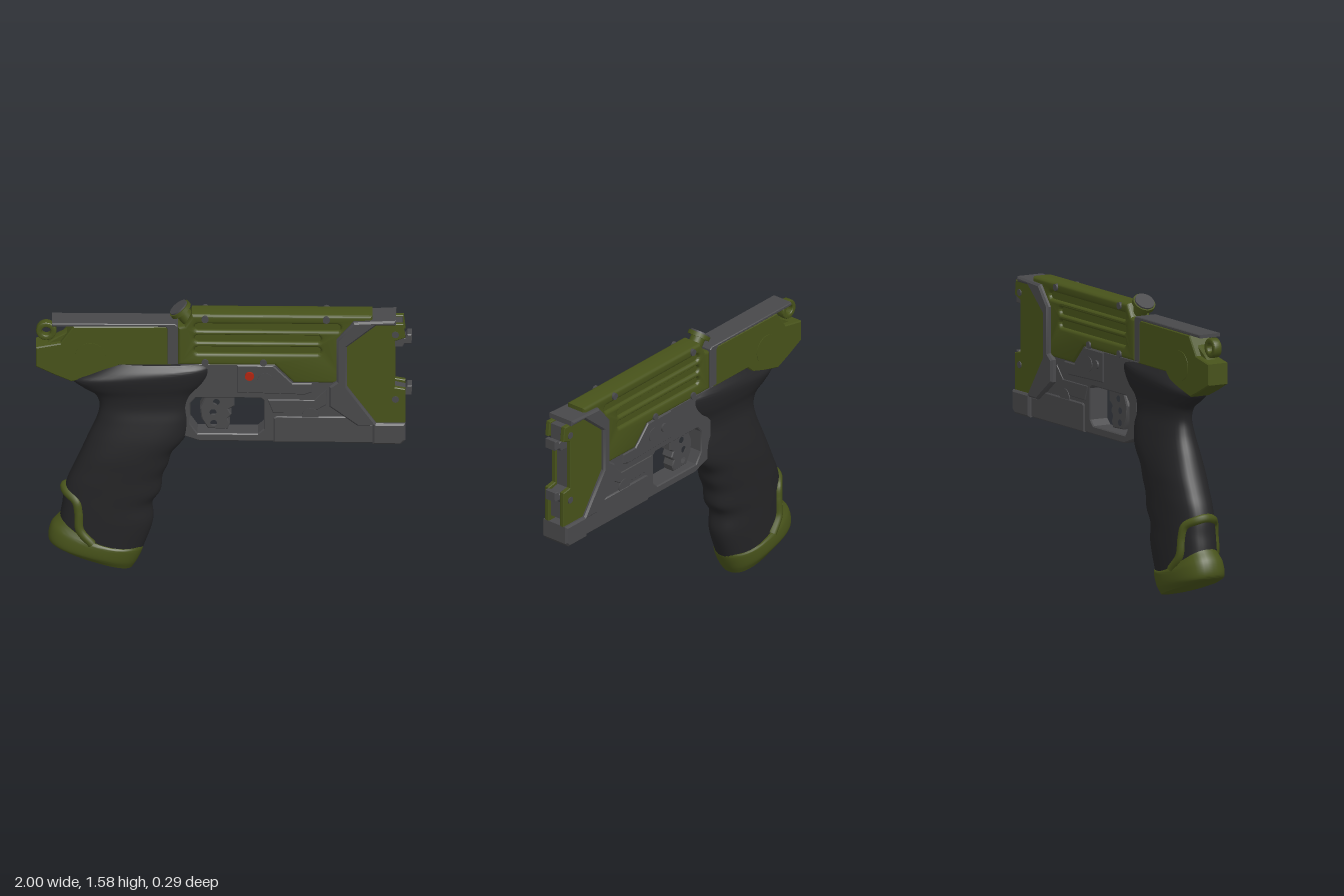
import * as THREE from 'three';
import { toCreasedNormals } from 'three/addons/utils/BufferGeometryUtils.js';

const mat = (color) => new THREE.MeshStandardMaterial({ color });
const green = mat(0x47521a), grey = mat(0x48484a), black = mat(0x242426), red = mat(0xb02510);
const ZC = -0.0125; // middle plane of the slim body

export function createModel() {
  const model = new THREE.Group();

  const add = (name, geo, material, x = 0, y = 0, z = 0) => {
    const m = new THREE.Mesh(geo, material);
    m.name = name;
    m.position.set(x, y, z);
    model.add(m);
    return m;
  };

  const circle = (x, y, r) => new THREE.Path().absarc(x, y, r, 0, Math.PI * 2, true);
  const slot = (x0, x1, y, r) => {
    const p = new THREE.Path();
    p.absarc(x1 - r, y, r, -Math.PI / 2, Math.PI / 2, false);
    p.absarc(x0 + r, y, r, Math.PI / 2, Math.PI * 1.5, false);
    return p;
  };

  // Side outline extruded symmetrically about the middle plane
  const plate = (name, pts, half, material, { bevel = 0.006, holes = [], z = ZC, segs = 1 } = {}) => {
    const shape = Array.isArray(pts) ? new THREE.Shape(pts.map(([x, y]) => new THREE.Vector2(x, y))) : pts;
    shape.holes.push(...holes);
    const depth = 2 * (half - bevel);
    const geo = new THREE.ExtrudeGeometry(shape, {
      depth, bevelEnabled: bevel > 0, bevelThickness: bevel, bevelSize: bevel,
      bevelOffset: -bevel, bevelSegments: segs, curveSegments: 16,
    });
    geo.translate(0, 0, -depth / 2);
    return add(name, toCreasedNormals(geo, 0.5), material, 0, 0, z);
  };

  // Round part running through the body from side to side
  const pin = (name, x, y, r, half, material, z = ZC, sides = 24) =>
    add(name, new THREE.CylinderGeometry(r, r, half * 2, sides).rotateX(Math.PI / 2), material, x, y, z);

  // Loft through rows of [rearX, rearY, frontX, frontY, halfWidth, sag]
  const loft = (name, rows, steps, material) => {
    const N = 40;
    const L = new THREE.CatmullRomCurve3(rows.map((r) => new THREE.Vector3(r[0], r[1], r[4])));
    const R = new THREE.CatmullRomCurve3(rows.map((r) => new THREE.Vector3(r[2], r[3], r[5] || 0)));
    const pos = [], idx = [];
    const pw = (v) => Math.sign(v) * Math.abs(v) ** 0.8;
    for (let i = 0; i <= steps; i++) {
      const l = L.getPoint(i / steps), r = R.getPoint(i / steps);
      for (let j = 0; j < N; j++) {
        const a = (j / N) * Math.PI * 2, u = pw(Math.cos(a)), k = (u + 1) / 2;
        pos.push(l.x + (r.x - l.x) * k, l.y + (r.y - l.y) * k - r.z * (1 - u * u), l.z * pw(Math.sin(a)));
      }
    }
    for (let i = 0; i < steps; i++) for (let j = 0; j < N; j++) {
      const a = i * N + j, b = i * N + (j + 1) % N;
      idx.push(a, b, a + N, b, b + N, a + N);
    }
    const ends = [[rows[0], 0], [rows[rows.length - 1], steps * N]];
    ends.forEach(([r, base], e) => {
      const c = pos.length / 3;
      pos.push((r[0] + r[2]) / 2, (r[1] + r[3]) / 2 - (r[5] || 0), 0);
      for (let j = 0; j < N; j++) {
        const a = base + j, b = base + (j + 1) % N;
        if (e) idx.push(c, a, b); else idx.push(c, b, a);
      }
    });
    const geo = new THREE.BufferGeometry();
    geo.setAttribute('position', new THREE.Float32BufferAttribute(pos, 3));
    geo.setIndex(idx);
    return add(name, toCreasedNormals(geo, 0.8), material);
  };

  // Grip with finger swells
  loft('grip', [
    [-0.6, 1.238, -0.1, 1.238, 0.065], [-0.72, 1.18, -0.07, 1.215, 0.095],
    [-0.81, 1.135, -0.07, 1.18, 0.102], [-0.76, 1.09, -0.1, 1.12, 0.095],
    [-0.685, 1.04, -0.16, 1.05, 0.082], [-0.662, 0.98, -0.183, 0.98, 0.08],
    [-0.675, 0.9, -0.183, 0.89, 0.095], [-0.72, 0.79, -0.205, 0.79, 0.112],
    [-0.765, 0.68, -0.275, 0.7, 0.12], [-0.8, 0.6, -0.295, 0.63, 0.12],
    [-0.83, 0.53, -0.325, 0.56, 0.12], [-0.85, 0.46, -0.335, 0.47, 0.12],
    [-0.86, 0.38, -0.378, 0.4, 0.12], [-0.87, 0.32, -0.375, 0.29, 0.12],
    [-0.88, 0.23, -0.43, 0.12, 0.118],
  ], 84, black);

  // Grip base cap and the strap looping round the back
  loft('gripBase', [
    [-0.872, 0.31, -0.428, 0.15, 0.125, 0.05], [-0.92, 0.25, -0.428, 0.125, 0.134, 0.02],
    [-0.932, 0.17, -0.46, 0.05, 0.132, 0], [-0.89, 0.14, -0.485, 0.008, 0.11, 0],
  ], 18, green);
  const strapPts = [[-0.7, 0.19, 0.122], [-0.765, 0.27, 0.109], [-0.772, 0.37, 0.1], [-0.785, 0.43, 0.09], [-0.835, 0.465, 0.045]];
  const strapPath = [...strapPts, [-0.848, 0.475, 0], ...strapPts.map(([x, y, z]) => [x, y, -z]).reverse()];
  add('gripStrap', new THREE.TubeGeometry(new THREE.CatmullRomCurve3(
    strapPath.map((p) => new THREE.Vector3(...p))), 80, 0.024, 10), green);

  // Rear housing, side discs and lanyard ring
  plate('rearHousing', [[-1, 1.335], [-0.87, 1.36], [-0.8, 1.462], [-0.28, 1.467], [-0.28, 1.23], [-0.56, 1.23],
    [-0.6, 1.19], [-0.65, 1.17], [-0.81, 1.13], [-0.9, 1.17], [-1, 1.22]], 0.061, green);
  pin('rearDisc', -0.71, 1.285, 0.08, 0.064, green, ZC, 32);
  plate('lanyardRing', new THREE.Shape().absarc(-0.945, 1.412, 0.054, 0, Math.PI * 2), 0.025, green,
    { bevel: 0.01, segs: 3, holes: [circle(-0.945, 1.412, 0.024)] });
  plate('ringLug', [[-0.96, 1.33], [-0.85, 1.34], [-0.82, 1.42], [-0.9, 1.375]], 0.03, green);

  // Top rail with its downward strap
  plate('topRail', [[-0.915, 1.463], [-0.31, 1.466], [-0.3, 1.45], [-0.3, 1.24], [-0.245, 1.24],
    [-0.245, 1.47], [-0.26, 1.482], [-0.915, 1.482]], 0.064, grey, { bevel: 0.004 });

  // Barrel housing with side grooves over an inner core
  plate('barrelHousing', [[-0.245, 1.235], [-0.245, 1.46], [-0.21, 1.47], [-0.17, 1.537], [0.79, 1.537],
    [0.79, 1.46], [0.66, 1.36], [0.66, 1.13], [0.37, 1.13], [0.27, 1.235]], 0.0625, green, {
    bevel: 0.018, segs: 4,
    holes: [slot(-0.155, 0.62, 1.463, 0.02), slot(-0.155, 0.515, 1.394, 0.02), slot(-0.155, 0.515, 1.324, 0.02)],
  });
  add('grooveFloor', new THREE.BoxGeometry(0.85, 0.22, 0.088), green, 0.24, 1.395, ZC);
  for (const [x, y] of [[-0.1, 1.515], [0.545, 1.515], [-0.1, 1.255], [0.21, 1.255]])
    pin('housingScrew', x, y, 0.019, 0.073, grey, ZC, 12);

  // Tilted knob
  const knob = new THREE.Group();
  knob.name = 'knob';
  for (const [name, r, h, y, m] of [['knobStem', 0.04, 0.11, -0.05, green], ['knobHead', 0.062, 0.022, 0.004, green], ['knobTop', 0.054, 0.012, 0.018, grey]]) {
    const part = add(name, new THREE.CylinderGeometry(r, r, h, 28), m, 0, y, 0);
    knob.add(part);
  }
  knob.position.set(-0.23, 1.538, -0.008);
  knob.rotation.z = 0.65;
  model.add(knob);

  // Lower frame with trigger opening
  const opening = new THREE.Path([[-0.18, 1.0], [-0.15, 1.035], [0.195, 1.035], [0.212, 1.02], [0.212, 0.85],
    [0.18, 0.82], [-0.14, 0.82], [-0.18, 0.88]].map(([x, y]) => new THREE.Vector2(x, y)));
  plate('frame', [[-0.26, 0.82], [-0.13, 0.775], [0.8, 0.775], [0.8, 0.9], [0.66, 1.0], [0.66, 1.24], [-0.3, 1.24], [-0.26, 1.05]],
    0.056, grey, { holes: [opening] });
  plate('receiverPanel', [[0.07, 1.235], [0.262, 1.235], [0.365, 1.13], [0.47, 1.13], [0.47, 1.075], [0.43, 1.06], [0.07, 1.07]], 0.062, grey);
  plate('middlePanel', [[0.23, 1.03], [0.48, 1.03], [0.55, 1.1], [0.55, 1.0], [0.46, 0.945], [0.26, 0.945]], 0.06, grey);
  plate('lowerPanel', [[0.265, 0.775], [0.265, 0.92], [0.28, 0.93], [0.68, 0.93], [0.74, 0.885], [0.8, 0.885], [0.8, 0.775]], 0.066, grey);
  pin('pivotBoss', 0.46, 0.935, 0.045, 0.064, grey);
  pin('receiverDisc', 0.22, 1.15, 0.04, 0.066, grey);
  pin('redButton', 0.136, 1.174, 0.024, 0.012, red, 0.05);
  pin('rearButton', 0.136, 1.16, 0.024, 0.012, grey, -0.073);

  // Trigger with lightening holes
  plate('trigger', [[-0.09, 1.05], [0.055, 1.05], [0.055, 0.975], [0.025, 0.955], [0.04, 0.925], [0.02, 0.9], [0.032, 0.87],
    [0.02, 0.835], [-0.085, 0.84], [-0.12, 0.9], [-0.128, 0.97]], 0.035, grey,
    { holes: [circle(-0.04, 1.0, 0.024), circle(-0.058, 0.938, 0.024), circle(-0.055, 0.873, 0.024)] });

  // Front frame, its core and green cheek plates
  plate('frontFrame', [[0.6, 1.4], [0.69, 1.508], [0.915, 1.52], [0.915, 1.49], [0.81, 1.49], [0.655, 1.36], [0.655, 1.12],
    [0.81, 0.9], [0.965, 0.9], [0.965, 0.8], [0.94, 0.775], [0.79, 0.775], [0.79, 0.885], [0.71, 0.885], [0.56, 1.0],
    [0.56, 1.12], [0.6, 1.15]], 0.086, grey, { bevel: 0.01 });
  plate('frontCore', [[0.63, 1.4], [0.75, 1.5], [0.9, 1.5], [0.9, 0.85], [0.8, 0.85], [0.63, 1.1]], 0.042, grey);
  for (const s of [1, -1])
    plate('cheekPlate', [[0.8, 1.492], [0.955, 1.492], [0.965, 1.41], [0.91, 1.39], [0.91, 1.11], [0.965, 1.1], [0.965, 0.895],
      [0.8, 0.895], [0.65, 1.12], [0.65, 1.36]], 0.014, green, { z: ZC + s * 0.052, bevel: 0.004 });
  for (const y of [1.43, 1.04]) pin('cheekScrew', 0.912, y, 0.019, 0.071, grey, ZC, 12);

  // Contact clips at the front
  for (const [y, s] of [[1.385, 1], [1.075, 1]]) {
    plate('frontClip', [[0.88, y - 0.045], [0.95, y - 0.045], [0.96, y - 0.025], [0.998, y - 0.025], [1, y + 0.03],
      [0.975, y + 0.03], [0.965, y + 0.01], [0.88, y + 0.03]], 0.036 * s, grey, { bevel: 0.004 });
  }
  add('upperContact', new THREE.BoxGeometry(0.08, 0.09, 0.07), grey, 0.91, 1.44, ZC);
  add('lowerContact', new THREE.BoxGeometry(0.08, 0.1, 0.07), grey, 0.91, 0.98, ZC);

  return model;
}
